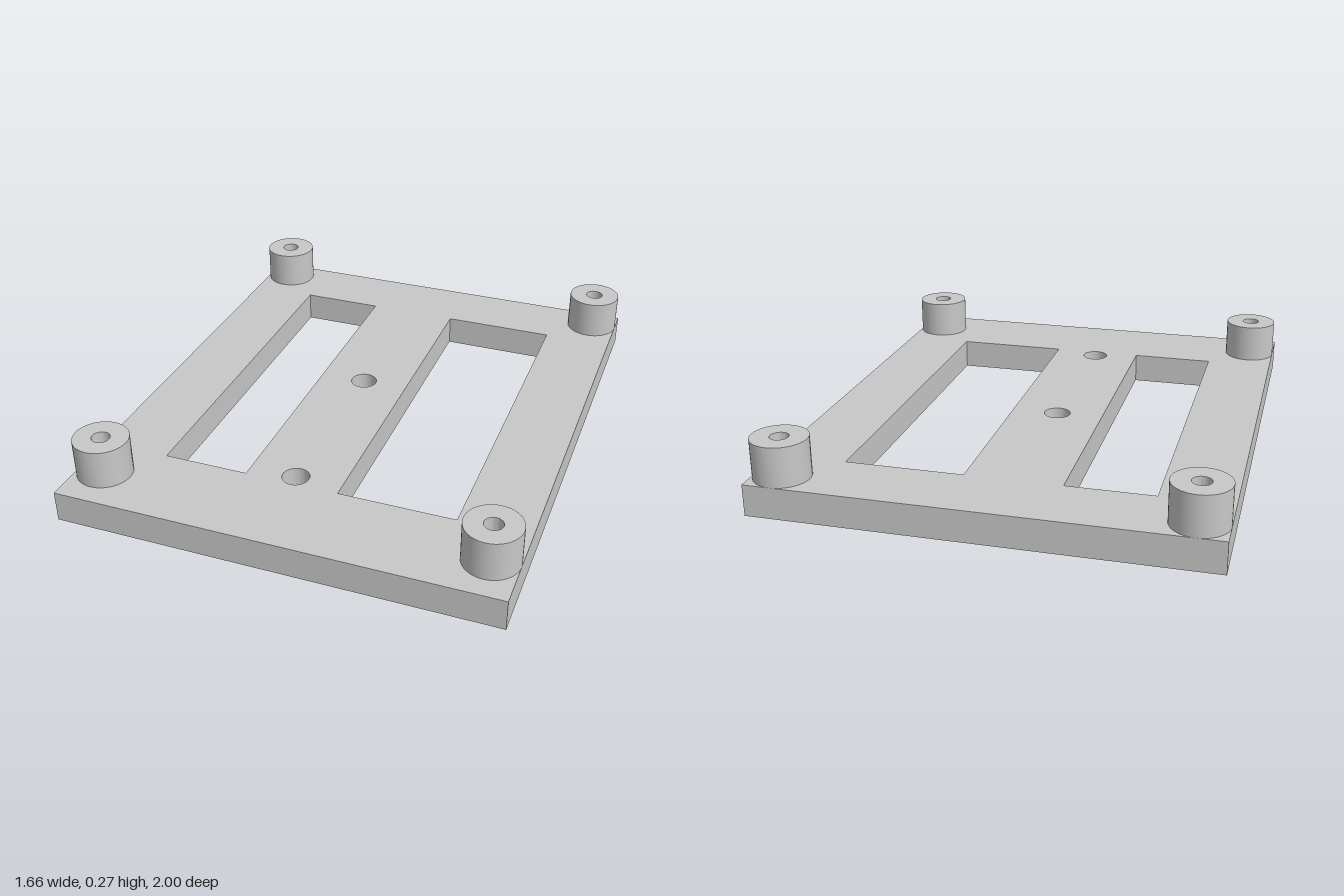
import * as THREE from 'three';
import { toCreasedNormals } from 'three/addons/utils/BufferGeometryUtils.js';

const HALF_W = 0.828, HALF_D = 1, PLATE_H = 0.118, BOSS_TOP = 0.267;
const BOSS_R = 0.103, BORE_R = 0.034;
const bossSpots = [[-0.725, -0.897], [0.725, -0.897], [-0.725, 0.821], [0.725, 0.821]];
const screwSpots = [[-0.06, -0.098], [-0.06, 0.614]];

// Shapes are drawn in plan, counter-clockwise; shape y is -z
function rect(path, x0, x1, z0, z1) {
  path.moveTo(x0, -z0);
  path.lineTo(x0, -z1);
  path.lineTo(x1, -z1);
  path.lineTo(x1, -z0);
  path.closePath();
  return path;
}

function circle(path, x, z, r) {
  path.absarc(x, -z, r, 0, Math.PI * 2, false);
  return path;
}

// Extrude a plan shape upwards from y0 to y1
function slab(shape, y0, y1, material, name) {
  let geo = new THREE.ExtrudeGeometry(shape, { depth: y1 - y0, bevelEnabled: false, curveSegments: 24 });
  geo.rotateX(-Math.PI / 2);
  geo.translate(0, y0, 0);
  geo = toCreasedNormals(geo, Math.PI / 5);
  const mesh = new THREE.Mesh(geo, material);
  mesh.name = name;
  return mesh;
}

export function createModel() {
  const model = new THREE.Group();
  model.name = 'mountingPlate';
  const grey = new THREE.MeshStandardMaterial({ color: 0xc8c8c8 });
  grey.name = 'light grey';

  // Base plate with two windows, two screw holes and four corner bores
  const plan = rect(new THREE.Shape(), -HALF_W, HALF_W, -HALF_D, HALF_D);
  plan.holes.push(
    rect(new THREE.Path(), -0.563, -0.239, -0.735, 0.657),
    rect(new THREE.Path(), 0.119, 0.56, -0.735, 0.657),
    ...screwSpots.map(([x, z]) => circle(new THREE.Path(), x, z, 0.051)),
    ...bossSpots.map(([x, z]) => circle(new THREE.Path(), x, z, BORE_R))
  );
  model.add(slab(plan, 0, PLATE_H, grey, 'basePlate'));

  // Hollow standoffs on the corners
  const names = ['backRight', 'backLeft', 'frontRight', 'frontLeft'];
  bossSpots.forEach(([x, z], i) => {
    const ring = circle(new THREE.Shape(), x, z, BOSS_R);
    ring.holes.push(circle(new THREE.Path(), x, z, BORE_R));
    model.add(slab(ring, PLATE_H, BOSS_TOP, grey, names[i] + 'Standoff'));
  });

  return model;
}
